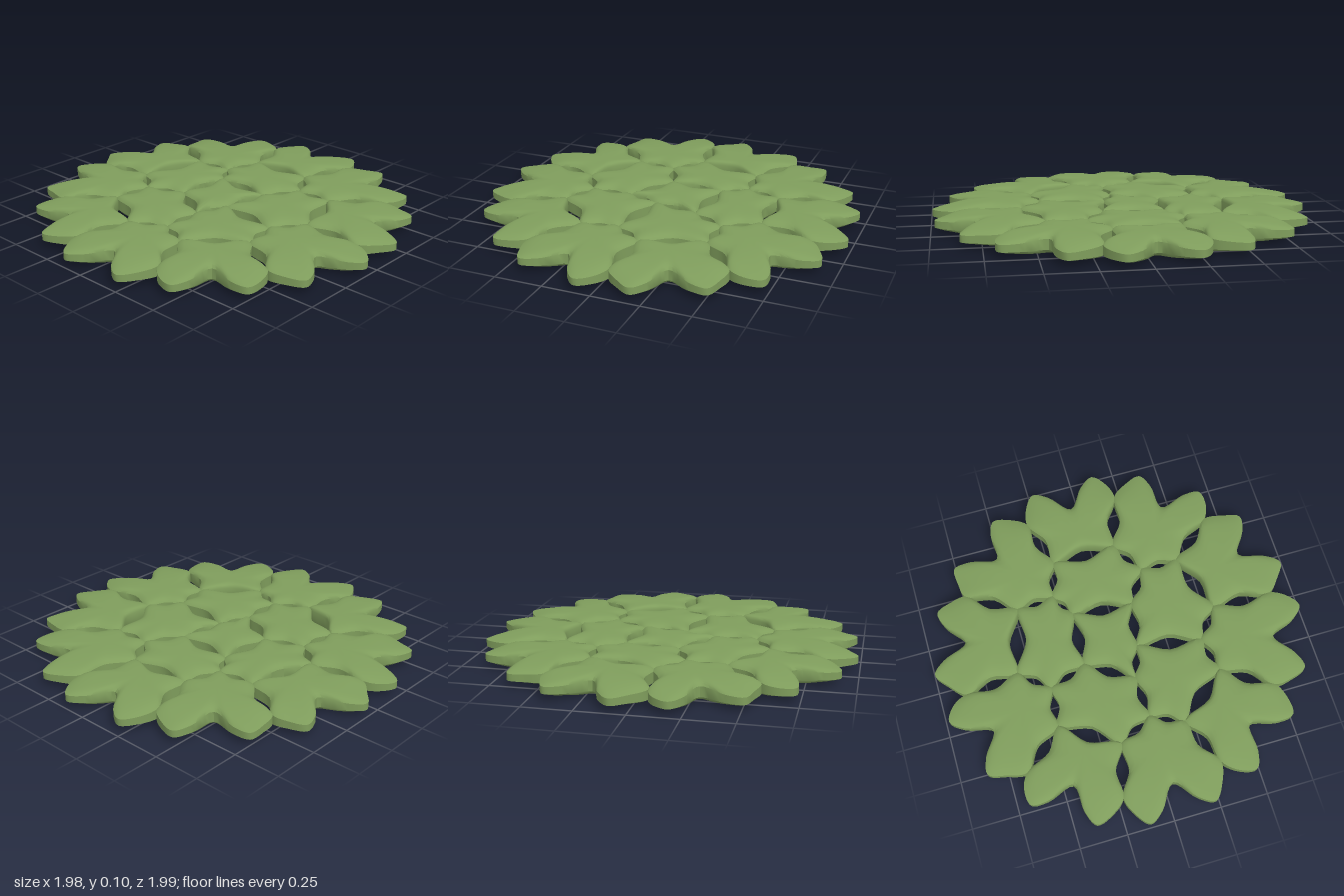
import * as THREE from 'three';
import { toCreasedNormals } from 'three/addons/utils/BufferGeometryUtils.js';

const MID_Y = 0.052;
const green = new THREE.MeshStandardMaterial({ color: 0x7f9d5c });
green.name = 'leafGreen';

// Contact points where neighbouring cells touch, as [x, z] in hundredths
const JOINTS = [
  // around the central cell
  [-23, 2], [-8, -22], [21, -20], [18, 12], [-6, 8],
  // between the inner ring and the rim cells
  [-37, -44], [-16, -42], [-3, -57], [32, -48], [34, -28], [53, -22], [54, 12], [36, 23],
  [36, 43], [4, 54], [-12, 42], [-31, 46], [-53, 20], [-45, 3], [-55, -15],
  // between neighbouring rim cells
  [-56, -65], [-7, -85], [47, -73], [79, -30], [82, 21], [55, 65], [3, 85], [-47, 71], [-78, 31], [-82, -22],
].map(([x, z]) => new THREE.Vector2(x / 100, z / 100));

const INNER_CELLS = [
  [5, 6, 1, 0, 18, 19], [6, 7, 8, 9, 2, 1], [2, 9, 10, 11, 12, 3], [4, 3, 12, 13, 14, 15], [18, 0, 4, 15, 16, 17],
];
// Inward-facing corners of each rim cell
const RIM_CORNERS = [[7, 6, 5], [8, 7], [10, 9, 8], [11, 10], [13, 12, 11], [14, 13], [16, 15, 14], [17, 16], [19, 18, 17], [5, 19]];

const polar = (r, a) => new THREE.Vector2(r * Math.cos(a), r * Math.sin(a));
const average = (pts) => pts.reduce((s, p) => s.add(p), new THREE.Vector2()).divideScalar(pts.length);

// Corners joined by edges that bow towards the cell centre
function bowedEdges(corners, centre, closed) {
  const out = [];
  corners.forEach((a, i) => {
    out.push(a);
    if (!closed && i === corners.length - 1) return;
    const b = corners[(i + 1) % corners.length];
    const edge = b.clone().sub(a);
    const mid = a.clone().add(b).multiplyScalar(0.5);
    const inward = new THREE.Vector2(-edge.y, edge.x);
    if (inward.dot(centre.clone().sub(mid)) < 0) inward.negate();
    out.push(mid.addScaledVector(inward, 0.13));
  });
  return out;
}

// Two rounded horns with a notch between them
function hornPoints(angle) {
  const horn = (a) => {
    const side = polar(0.07, a + Math.PI / 2);
    const shoulder = polar(0.935, a);
    return [shoulder.clone().sub(side), polar(0.993, a), shoulder.clone().add(side)];
  };
  const spread = THREE.MathUtils.degToRad(10.1);
  return [...horn(angle - spread), polar(0.82, angle), ...horn(angle + spread)];
}

// Pillow-shaped solid built from scaled rings of the outline
function pillow(outline, centre) {
  const curve = new THREE.CatmullRomCurve3(outline.map((p) => new THREE.Vector3(p.x, 0, p.y)), true, 'centripetal');
  const n = outline.length * 5;
  const ring = curve.getPoints(n).slice(0, n);
  const profile = [[0.35, 0.052], [0.65, 0.051], [0.82, 0.047], [0.93, 0.041], [1.01, 0.028]];
  const rings = [...profile, ...profile.slice().reverse().map(([s, h]) => [s, -h])];
  const pos = [centre.x, MID_Y + 0.052, centre.y];
  for (const [s, h] of rings) {
    for (const p of ring) {
      const x = centre.x + (p.x - centre.x) * s;
      const z = centre.y + (p.z - centre.y) * s;
      // the disc thins towards its outer edge
      const taper = 1 - 0.35 * THREE.MathUtils.smoothstep(Math.hypot(x, z), 0.78, 1);
      pos.push(x, MID_Y + h * taper, z);
    }
  }
  pos.push(centre.x, MID_Y - 0.052, centre.y);
  const last = 1 + rings.length * n;
  const index = [];
  for (let j = 0; j < n; j++) {
    const k = (j + 1) % n;
    index.push(0, 1 + k, 1 + j);
    for (let r = 0; r < rings.length - 1; r++) {
      const a = 1 + r * n, b = a + n;
      index.push(a + j, a + k, b + j, a + k, b + k, b + j);
    }
    index.push(last, last - n + j, last - n + k);
  }
  const geo = new THREE.BufferGeometry();
  geo.setAttribute('position', new THREE.Float32BufferAttribute(pos, 3));
  geo.setIndex(index);
  return toCreasedNormals(geo, 0.6);
}

export function createModel() {
  const model = new THREE.Group();
  model.name = 'cellColony';
  const add = (name, outline, centre) => {
    const mesh = new THREE.Mesh(pillow(outline, centre), green);
    mesh.name = name;
    model.add(mesh);
  };

  // Central cell and the ring of five around it
  [[0, 1, 2, 3, 4], ...INNER_CELLS].forEach((ids, i) => {
    const corners = ids.map((id) => JOINTS[id]);
    const centre = average(corners);
    add(i === 0 ? 'centralCell' : `innerCell${i}`, bowedEdges(corners, centre, true), centre);
  });

  // Ten horned cells around the rim
  RIM_CORNERS.forEach((ids, k) => {
    const corners = [20 + ((k + 1) % 10), ...ids, 20 + k].map((id) => JOINTS[id]);
    const angle = THREE.MathUtils.degToRad(-111 + 36 * k);
    const centre = polar(0.62, angle).lerp(average(corners), 0.5);
    add(`rimCell${k + 1}`, [...bowedEdges(corners, centre, false), ...hornPoints(angle)], centre);
  });
  return model;
}
